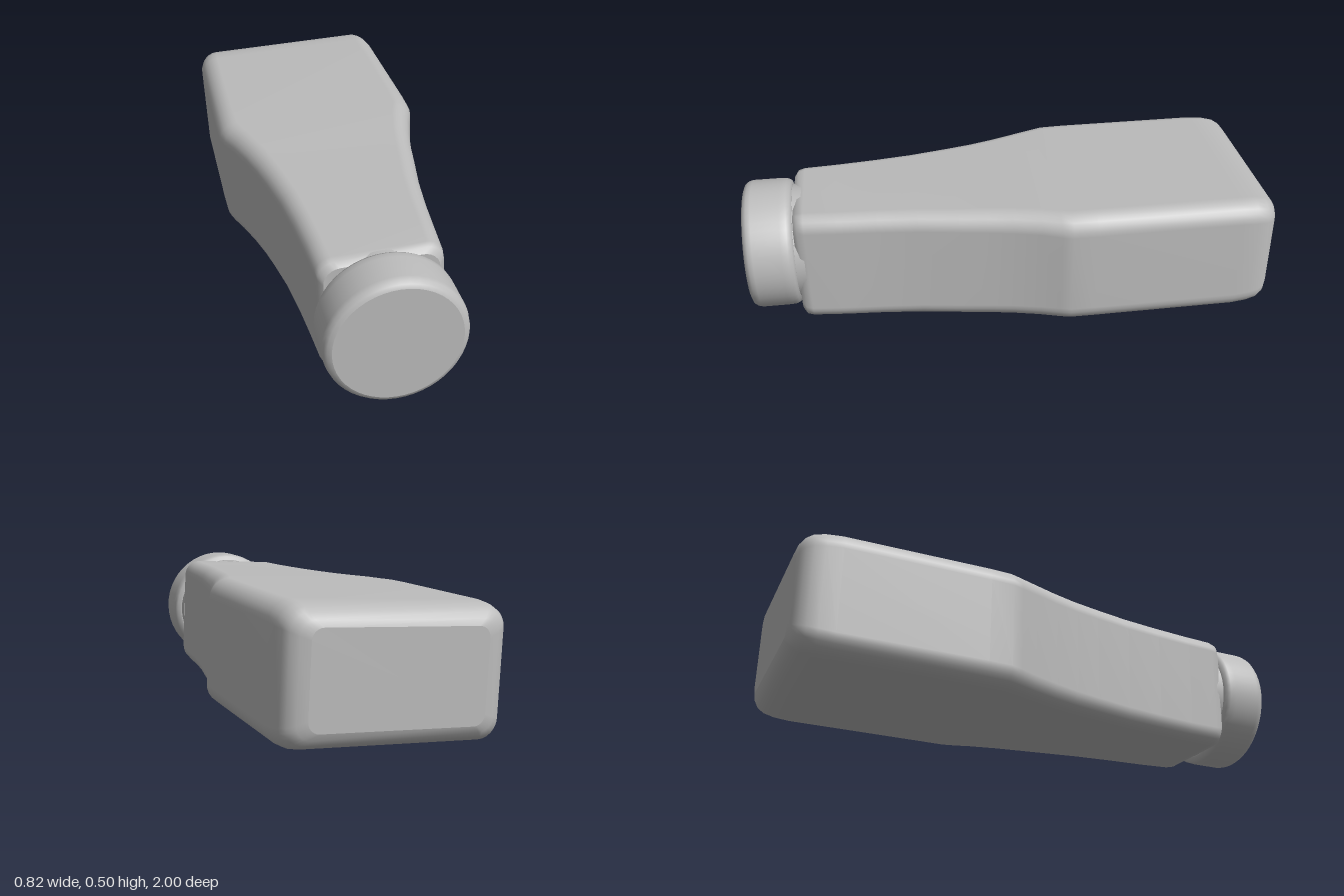
import * as THREE from 'three';

const grey = new THREE.MeshStandardMaterial({ color: 0xbcbcbc });
grey.name = 'plain grey';

const TILT = 0.045; // the body leans slightly about its long axis
const CORNER_STEPS = 6;

// Rounded rectangle outline, counter-clockwise as seen from +z
function outline(halfW, halfH, radius) {
  const points = [];
  const corners = [[1, 1], [-1, 1], [-1, -1], [1, -1]];
  corners.forEach(([sx, sy], q) => {
    for (let i = 0; i <= CORNER_STEPS; i++) {
      const a = (q + i / CORNER_STEPS) * Math.PI / 2;
      points.push([
        sx * (halfW - radius) + radius * Math.cos(a),
        sy * (halfH - radius) + radius * Math.sin(a),
      ]);
    }
  });
  return points;
}

// Skin a list of sections: [z, halfW, halfH, radius, centreX, centreY]
function loft(sections) {
  const positions = [];
  const index = [];
  const n = 4 * (CORNER_STEPS + 1);
  const addRing = ([z, w, h, r, cx, cy]) => {
    for (const [x, y] of outline(w, h, r)) {
      positions.push(
        cx + x * Math.cos(TILT) - y * Math.sin(TILT),
        cy + x * Math.sin(TILT) + y * Math.cos(TILT),
        z,
      );
    }
  };
  sections.forEach(addRing);
  for (let s = 0; s < sections.length - 1; s++) {
    for (let i = 0; i < n; i++) {
      const a = s * n + i;
      const b = s * n + (i + 1) % n;
      index.push(a, b, b + n, a, b + n, a + n);
    }
  }
  // Flat ends with their own vertices, so their rims stay crisp
  [sections[0], sections[sections.length - 1]].forEach((section, end) => {
    const start = positions.length / 3;
    addRing(section);
    positions.push(section[4], section[5], section[0]);
    for (let i = 0; i < n; i++) {
      const a = start + i;
      const b = start + (i + 1) % n;
      if (end) index.push(start + n, a, b);
      else index.push(start + n, b, a);
    }
  });
  const geometry = new THREE.BufferGeometry();
  geometry.setAttribute('position', new THREE.Float32BufferAttribute(positions, 3));
  geometry.setIndex(index);
  geometry.computeVertexNormals();
  return geometry;
}

// Turned part lying along z, from [radius, z] pairs
function turned(profile, name) {
  const geometry = new THREE.LatheGeometry(profile.map(([r, z]) => new THREE.Vector2(r, z)), 48);
  geometry.rotateX(Math.PI / 2);
  const mesh = new THREE.Mesh(geometry, grey);
  mesh.name = name;
  mesh.position.set(0.008, 0.257, 0);
  return mesh;
}

export function createModel() {
  const group = new THREE.Group();
  group.name = 'bottle';

  // Flattened body: rounded base, straight sides, shoulder and tapering neck
  const body = new THREE.Mesh(loft([
    [-1.0, 0.31, 0.165, 0.04, 0, 0.262],
    [-0.992, 0.345, 0.188, 0.05, 0, 0.262],
    [-0.975, 0.372, 0.208, 0.06, 0, 0.262],
    [-0.95, 0.388, 0.223, 0.07, 0, 0.262],
    [-0.91, 0.396, 0.232, 0.075, 0, 0.262],
    [-0.85, 0.4, 0.236, 0.075, 0, 0.262],
    [-0.3, 0.402, 0.236, 0.075, 0, 0.262],
    [-0.21, 0.4, 0.236, 0.075, 0, 0.261],
    [-0.17, 0.388, 0.236, 0.075, 0, 0.26],
    [-0.1, 0.362, 0.236, 0.072, 0.002, 0.26],
    [0.0, 0.332, 0.235, 0.07, 0.005, 0.258],
    [0.1, 0.308, 0.234, 0.068, 0.008, 0.256],
    [0.2, 0.289, 0.233, 0.066, 0.01, 0.255],
    [0.35, 0.262, 0.232, 0.064, 0.01, 0.253],
    [0.5, 0.244, 0.231, 0.062, 0.009, 0.251],
    [0.65, 0.231, 0.23, 0.06, 0.008, 0.249],
    [0.77, 0.222, 0.229, 0.06, 0.006, 0.249],
    [0.795, 0.217, 0.224, 0.06, 0.006, 0.249],
    [0.81, 0.2, 0.207, 0.06, 0.006, 0.249],
  ]), grey);
  body.name = 'body';
  group.add(body);

  // Short collar in the groove between body and cap
  group.add(turned([[0.222, 0.78], [0.222, 0.84]], 'collar'));

  // Round cap with softened rims
  group.add(turned([
    [0, 0.815], [0.225, 0.815], [0.225, 0.815], [0.24, 0.821], [0.247, 0.835],
    [0.249, 0.86], [0.249, 0.965], [0.245, 0.982], [0.236, 0.994], [0.222, 1.0],
    [0.222, 1.0], [0, 1.0],
  ], 'cap'));

  return group;
}
